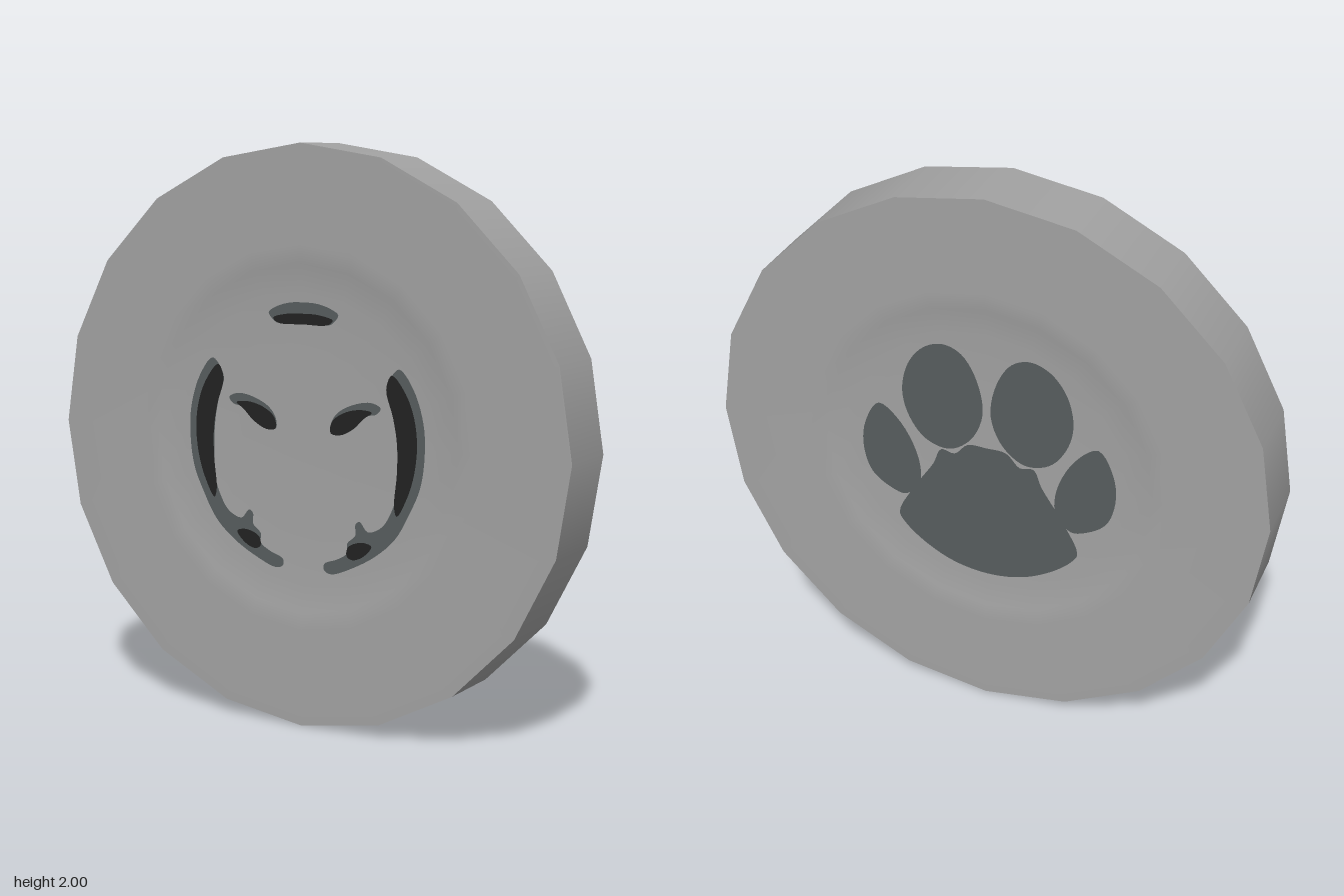
import * as THREE from 'three';

const material = (name, color) => {
  const m = new THREE.MeshStandardMaterial({ color });
  m.name = name;
  return m;
};

const SIDES = 20, HALF = 0.124;

// Half outlines start and end on the axis; mirror them to close the loop
const symmetric = half => [...half, ...half.slice(1, -1).reverse().map(([x, y]) => [-x, y])];
const mirrored = pts => pts.map(([x, y]) => [-x, y]);

export function createModel() {
  const stone = material('medal grey', 0xa2a2a2);
  const slate = material('slate grey', 0x575d5e);
  const black = material('black', 0x222222);
  const model = new THREE.Group();
  model.name = 'medal';

  const add = (parent, name, geometry, mat) => {
    const mesh = new THREE.Mesh(geometry, mat);
    mesh.name = name;
    parent.add(mesh);
  };

  // Thin flat inlay with a rounded outline
  const inlay = (parent, name, pts, mat, z) => {
    const curve = new THREE.CatmullRomCurve3(
      pts.map(([x, y]) => new THREE.Vector3(x, y, 0)), true, 'centripetal');
    const outline = curve.getPoints(pts.length * 5).slice(0, -1);
    const shape = new THREE.Shape(outline.map(p => new THREE.Vector2(p.x, p.y)));
    add(parent, name, new THREE.ShapeGeometry(shape).translate(0, 0, z), mat);
  };
  const inlayPair = (parent, name, pts, mat, z) => {
    inlay(parent, name + 'Left', pts, mat, z);
    inlay(parent, name + 'Right', mirrored(pts), mat, z);
  };

  // Rim with smooth normals
  const body = new THREE.Group();
  body.name = 'body';
  body.position.y = 1;
  model.add(body);
  add(body, 'rim', new THREE.CylinderGeometry(1, 1, HALF * 2, SIDES, 1, true).rotateX(Math.PI / 2), stone);

  // Two shallow dished faces
  const profile = [[1, HALF], [0.66, HALF], [0.6, 0.117], [0.5, 0.102], [0.25, 0.1], [0, 0.1]]
    .map(([r, h]) => new THREE.Vector2(r, h));
  const [front, back] = ['front', 'back'].map((side, i) => {
    const group = new THREE.Group();
    group.name = side;
    group.rotation.y = i * Math.PI;
    body.add(group);
    add(group, side + 'Face', new THREE.LatheGeometry(profile, SIDES).rotateX(Math.PI / 2), stone);
    return group;
  });

  // Front: mask with cheek arcs, eyes and brow
  const low = 0.105, high = 0.108;
  inlayPair(front, 'cheekArc', [
    [0.372, 0.262], [0.425, 0.198], [0.463, 0.086], [0.468, -0.021], [0.452, -0.128], [0.414, -0.214],
    [0.361, -0.305], [0.291, -0.369], [0.2, -0.422], [0.11, -0.455], [0.083, -0.444], [0.083, -0.422],
    [0.136, -0.4], [0.174, -0.374], [0.174, -0.342], [0.206, -0.31], [0.206, -0.273], [0.222, -0.262],
    [0.254, -0.294], [0.307, -0.273], [0.34, -0.225], [0.361, -0.166], [0.366, -0.059], [0.361, 0.048],
    [0.34, 0.144], [0.324, 0.193], [0.345, 0.241]], slate, low);
  inlayPair(front, 'cheekShade', [
    [0.345, 0.241], [0.324, 0.193], [0.35, 0.102], [0.366, 0.011], [0.366, -0.086], [0.356, -0.2],
    [0.366, -0.23], [0.404, -0.166], [0.43, -0.086], [0.441, 0.011], [0.43, 0.102], [0.398, 0.182]], black, high);
  inlayPair(front, 'jawShade', [
    [0.27, -0.342], [0.233, -0.332], [0.179, -0.353], [0.174, -0.385], [0.195, -0.396], [0.238, -0.38]], black, high);
  inlayPair(front, 'eye', [
    [0.302, 0.128], [0.265, 0.144], [0.2, 0.134], [0.136, 0.102], [0.11, 0.064], [0.11, 0.032],
    [0.147, 0.027], [0.2, 0.053], [0.243, 0.096], [0.286, 0.107]], slate, low);
  inlayPair(front, 'eyeShade', [
    [0.27, 0.112], [0.222, 0.118], [0.158, 0.102], [0.115, 0.07], [0.11, 0.032], [0.147, 0.027],
    [0.2, 0.053], [0.24, 0.09]], black, high);
  inlay(front, 'brow', symmetric([
    [0, 0.468], [0.056, 0.465], [0.11, 0.449], [0.138, 0.43], [0.125, 0.41], [0.105, 0.396], [0, 0.396]]), slate, low);
  inlay(front, 'browShade', symmetric([
    [0, 0.43], [0.06, 0.428], [0.118, 0.412], [0.1, 0.396], [0, 0.394]]), black, high);

  // Back: paw print
  inlay(back, 'pawPad', symmetric([
    [0, 0.06], [0.07, 0.057], [0.12, 0.01], [0.17, 0.015], [0.2, -0.05], [0.27, -0.16], [0.335, -0.29],
    [0.315, -0.33], [0.24, -0.395], [0.13, -0.45], [0, -0.47]]), slate, low);
  inlayPair(back, 'innerToe', [
    [0.09, 0.41], [0.035, 0.32], [0.015, 0.19], [0.06, 0.08], [0.14, 0.025], [0.225, 0.045],
    [0.285, 0.12], [0.31, 0.22], [0.285, 0.335], [0.225, 0.41], [0.155, 0.435]], slate, low + 0.001);
  inlayPair(back, 'outerToe', [
    [0.4, 0.15], [0.32, 0.09], [0.255, -0.045], [0.255, -0.15], [0.31, -0.205], [0.37, -0.19],
    [0.435, -0.14], [0.465, -0.045], [0.455, 0.06]], slate, low + 0.001);

  return model;
}
